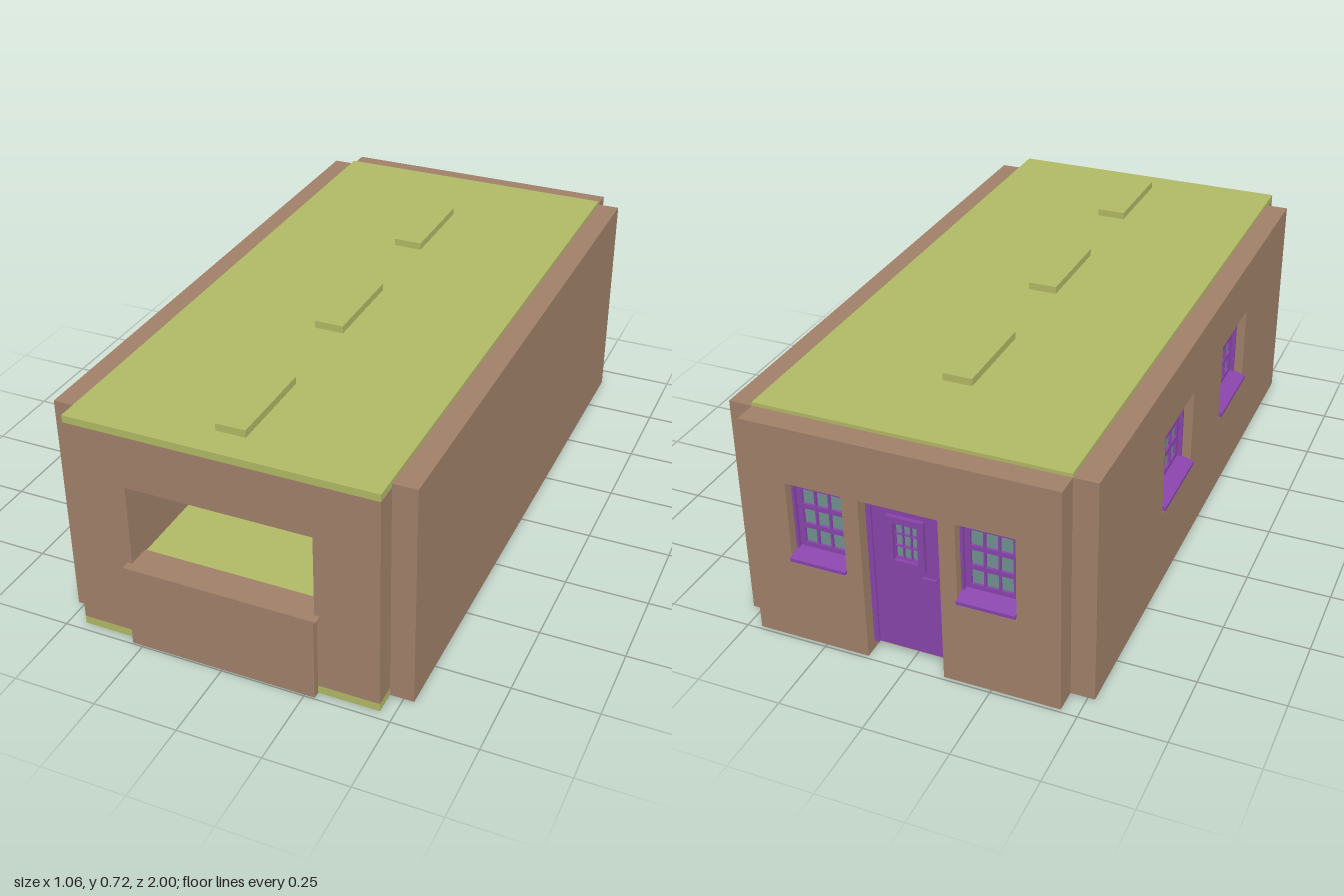
import * as THREE from 'three';

const paint = (color) => new THREE.MeshStandardMaterial({ color });
const brown = paint(0xa08069), green = paint(0xb0b864), purple = paint(0x8844aa), glass = paint(0x70918f);

// All buildings parts sit around this x centre, because the sills overhang on one side only
const CX = 0.005;

// Box given by its limits on each axis
function block(parent, name, mat, [x0, x1], [y0, y1], [z0, z1]) {
  const mesh = new THREE.Mesh(new THREE.BoxGeometry(x1 - x0, y1 - y0, z1 - z0), mat);
  mesh.position.set((x0 + x1) / 2, (y0 + y1) / 2, (z0 + z1) / 2);
  mesh.name = name;
  parent.add(mesh);
  return mesh;
}

const corners = (x0, x1, y0, y1) => [[x0, y0], [x1, y0], [x1, y1], [x0, y1]].map((p) => new THREE.Vector2(...p));

// Slab with an outline and rectangular holes, extruded along +z from z
function slab(parent, name, mat, outline, holes, z, depth) {
  const shape = new THREE.Shape(outline);
  for (const h of holes) shape.holes.push(new THREE.Path(corners(...h)));
  const mesh = new THREE.Mesh(new THREE.ExtrudeGeometry(shape, { depth, bevelEnabled: false }), mat);
  mesh.position.z = z;
  mesh.name = name;
  parent.add(mesh);
  return mesh;
}

// Grid of pane openings inside a rectangle
function panes(x0, x1, y0, y1, cols, rows, gapX, gapY) {
  const w = (x1 - x0 - gapX * (cols - 1)) / cols, h = (y1 - y0 - gapY * (rows - 1)) / rows;
  const list = [];
  for (let i = 0; i < cols; i++) for (let j = 0; j < rows; j++) {
    const x = x0 + i * (w + gapX), y = y0 + j * (h + gapY);
    list.push([x, x + w, y, y + h]);
  }
  return list;
}

// Window: outside faces +z, z = 0 is the outer wall face, y = 0 the bottom of the opening
function makeWindow(name, width, height, cols) {
  const g = new THREE.Group();
  g.name = name;
  const w = width / 2, gx = w - 0.024;
  slab(g, 'casing', purple, corners(-w, w, 0, height), [[-w + 0.008, w - 0.008, 0.022, height - 0.008]], -0.068, 0.04);
  slab(g, 'sash', purple, corners(-w + 0.008, w - 0.008, 0.022, height - 0.008),
    panes(-gx, gx, 0.05, height - 0.035, cols, 3, 0.006, 0.014), -0.06, 0.02);
  block(g, 'glass', glass, [-gx, gx], [0.05, height - 0.035], [-0.053, -0.048]);
  // Sloping sill
  const profile = [[-0.01, 0.01], [0.04, 0], [0.04, 0.036], [-0.01, 0.021]].map((p) => new THREE.Vector2(...p));
  const sill = slab(g, 'sill', purple, profile, [], 0, width);
  sill.rotation.y = Math.PI / 2;
  sill.position.x = -w;
  return g;
}

// Door in the same frame, y = 0 at the floor
function makeDoor(height) {
  const g = new THREE.Group();
  g.name = 'door';
  const jamb = [[-0.115, 0], [-0.1, 0], [-0.1, height - 0.008], [0.1, height - 0.008], [0.1, 0], [0.115, 0], [0.115, height], [-0.115, height]];
  slab(g, 'doorFrame', purple, jamb.map((p) => new THREE.Vector2(...p)), [], -0.068, 0.03);
  const grid = panes(-0.034, 0.034, 0.305, 0.417, 3, 3, 0.003, 0.003);
  slab(g, 'doorLeaf', purple, corners(-0.1, 0.1, 0, height - 0.008), grid, -0.065, 0.02);
  slab(g, 'doorWindowTrim', purple, corners(-0.055, 0.055, 0.28, 0.44), [[-0.036, 0.036, 0.302, 0.42]], -0.045, 0.012);
  block(g, 'doorGlass', glass, [-0.036, 0.036], [0.303, 0.419], [-0.057, -0.053]);
  for (const z of [-0.073, -0.041]) block(g, 'doorHandle', purple, [0.045, 0.085], [0.252, 0.26], [z - 0.004, z + 0.004]);
  for (const y of [0.08, 0.42]) block(g, 'hinge', purple, [-0.106, -0.1], [y, y + 0.025], [-0.071, -0.06]);
  return g;
}

export function createModel() {
  const model = new THREE.Group();
  model.name = 'serviceBuilding';
  const hall = new THREE.Group();
  hall.name = 'hall';
  hall.position.x = CX;
  model.add(hall);

  const W = 0.455, T = 0.07, H = 0.687;
  const BACK = -0.92, FRONT = 0.973, INNER = 0.904;
  const OPEN_Y = 0.258, TOP_Y = 0.515;

  // Floor, roof and roof vents
  block(hall, 'floor', green, [-W, W], [0, 0.025], [BACK, FRONT]);
  block(hall, 'roof', green, [-W, W], [0.676, 0.698], [BACK, FRONT]);
  for (const z of [-0.475, 0.127, 0.73]) block(hall, 'roofVent', green, [-0.049, 0.039], [0.698, 0.72], [z - 0.148, z + 0.148]);

  // Front wall with the serving hatch and its counter
  slab(hall, 'frontWall', brown, corners(-W, W, 0.025, 0.676), [[-0.28, 0.268, OPEN_Y, TOP_Y]], INNER, FRONT - INNER);
  block(hall, 'counter', brown, [-0.288, 0.275], [0, 0.26], [FRONT, 0.995]);
  block(hall, 'counterTop', brown, [-0.294, 0.285], [0.26, 0.265], [FRONT, 1]);
  block(hall, 'hatchSill', brown, [-0.28, 0.268], [0.257, 0.265], [INNER, FRONT]);

  // Plain left wall
  block(hall, 'leftWall', brown, [W, W + T], [0, H], [BACK, INNER]);

  // Right wall with two windows
  const sideZ = [-0.255, 0.307], sideW = 0.266;
  const rightWall = slab(hall, 'rightWall', brown, corners(BACK, INNER, 0, H),
    sideZ.map((z) => [z - sideW / 2, z + sideW / 2, OPEN_Y, TOP_Y]), 0, T);
  rightWall.rotation.y = -Math.PI / 2;
  rightWall.position.x = -W;
  for (const z of sideZ) {
    const win = makeWindow('sideWindow', sideW, TOP_Y - OPEN_Y, 4);
    win.rotation.y = -Math.PI / 2;
    win.position.set(-W - T, OPEN_Y, z);
    hall.add(win);
  }

  // Back wall with a doorway between two windows
  const backX = 0.247, backW = 0.168;
  const outline = [[-W, 0], [-0.115, 0], [-0.115, TOP_Y], [0.115, TOP_Y], [0.115, 0], [W, 0], [W, H], [-W, H]];
  slab(hall, 'backWall', brown, outline.map((p) => new THREE.Vector2(...p)),
    [-backX, backX].map((x) => [x - backW / 2, x + backW / 2, OPEN_Y, TOP_Y]), BACK - T, T);
  for (const x of [-backX, backX]) {
    const win = makeWindow('backWindow', backW, TOP_Y - OPEN_Y, 3);
    win.rotation.y = Math.PI;
    win.position.set(x, OPEN_Y, BACK - T);
    hall.add(win);
  }
  const door = makeDoor(TOP_Y - 0.025);
  door.rotation.y = Math.PI;
  door.position.set(0, 0.025, BACK - T);
  hall.add(door);

  return model;
}
